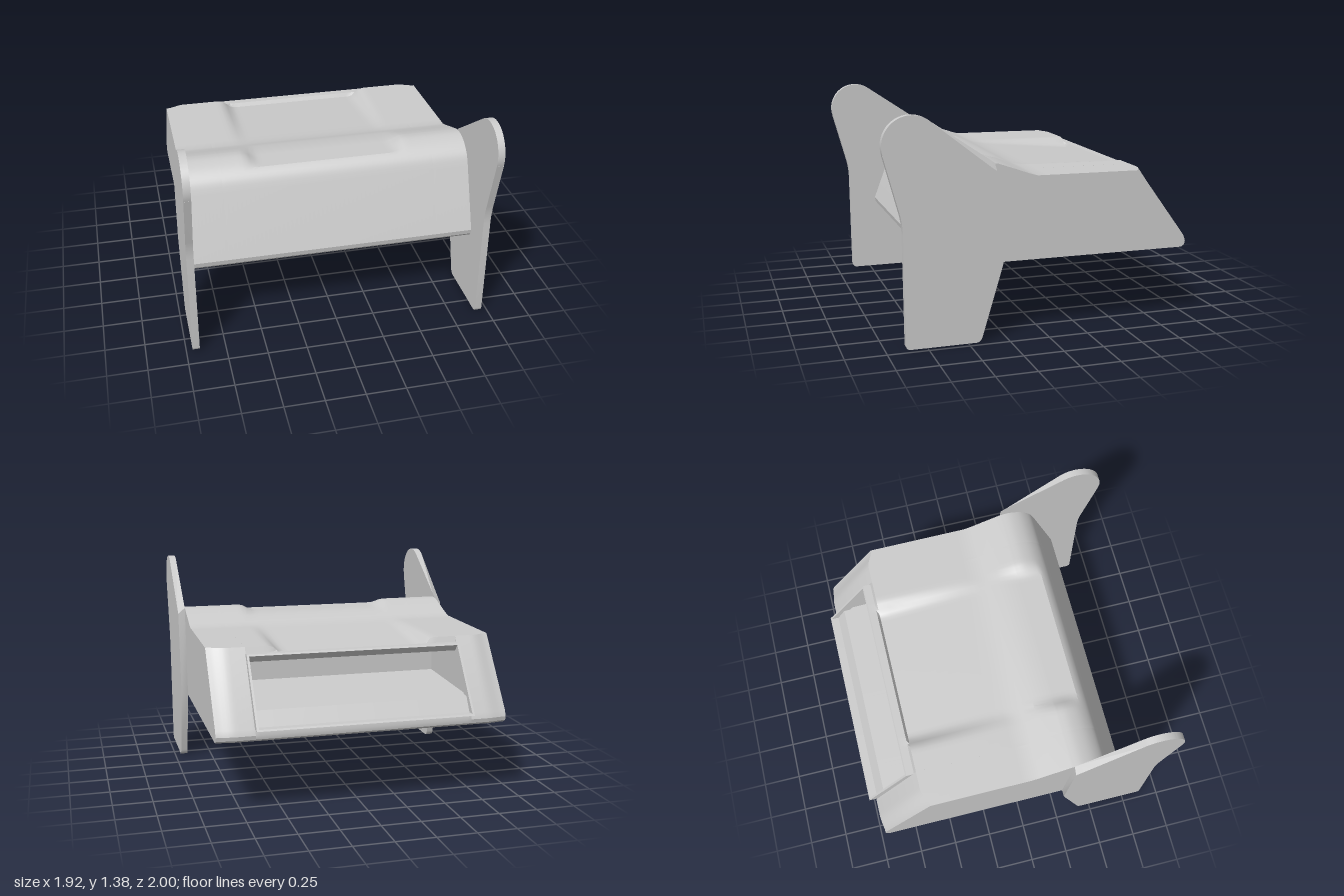
import * as THREE from 'three';
import { toCreasedNormals } from 'three/addons/utils/BufferGeometryUtils.js';

const HALF = 0.915;      // half width of the body
const POCKET = 0.68;     // half width of the rear opening

// Extrude a (z, y) outline across x from x0 to x1; an optional rule moves the vertices
function across(outline, x0, x1, steps = 1, rule = null) {
  const shape = outline instanceof THREE.Shape
    ? outline
    : new THREE.Shape(outline.map(([z, y]) => new THREE.Vector2(z, y)));
  const geo = new THREE.ExtrudeGeometry(shape, {
    depth: x1 - x0, steps, bevelEnabled: false, curveSegments: 20,
  });
  geo.rotateY(-Math.PI / 2);
  geo.translate(x1, 0, 0);
  if (rule) {
    const p = geo.attributes.position;
    const v = new THREE.Vector3();
    for (let i = 0; i < p.count; i++) {
      rule(v.fromBufferAttribute(p, i));
      p.setXYZ(i, v.x, v.y, v.z);
    }
  }
  return toCreasedNormals(geo, 0.5);
}

// Front, rounded ridge and top of the body, from the bottom edge to the rear edge
function frontAndTop(rearZ) {
  const ridge = new THREE.SplineCurve([
    [0.55, 0.93], [0.515, 1.0], [0.45, 1.055], [0.37, 1.08], [0.3, 1.075],
  ].map(([z, y]) => new THREE.Vector2(z, y)));
  const points = [[0.64, 0.475], [0.675, 0.48], [0.695, 0.5], [0.7, 0.53]];
  ridge.getPoints(16).forEach((q) => points.push([q.x, q.y]));
  points.push([0.18, 1.033], [0.1, 1.004]);
  const n = 10;
  for (let i = 0; i <= n; i++) {
    const t = i / n;
    points.push([THREE.MathUtils.lerp(0.05, rearZ, t), 0.99 - 0.005 * t]);
  }
  return points;
}

// Shallow hollow in the middle of the top
function hollow(v) {
  if (v.y < 0.96 || v.z < -0.66) return;
  const blend = 1 - THREE.MathUtils.smoothstep(Math.abs(v.x), 0.43, 0.53);
  const floor = v.z < 0.05 ? 0.985 + 0.085 * (v.z - 0.05) : 1.04;
  v.y += (Math.min(v.y, floor) - v.y) * blend;
}

// The rear slope bows out a little away from the side faces
function bowRear(v) {
  if (v.z > -0.6) return;
  const blend = THREE.MathUtils.smoothstep(HALF - Math.abs(v.x), 0, 0.12);
  v.z -= (v.y > 0.9 ? 0.04 : 0.014) * blend;
}

// Outline of an end panel: straight leg, swept neck and round head
function panelShape() {
  const s = new THREE.Shape();
  s.moveTo(0.45, 0);
  s.lineTo(0.85, 0);
  s.quadraticCurveTo(0.88, 0, 0.88, 0.03);
  s.lineTo(0.885, 0.68);
  s.quadraticCurveTo(0.885, 0.76, 0.905, 0.83);
  s.lineTo(0.994, 1.16);
  s.absarc(0.825, 1.21, 0.175, -0.29, 2.15, false);
  s.lineTo(0.36, 1.068);
  s.lineTo(0.32, 1.04);
  s.lineTo(0.28, 0.48);
  s.lineTo(0.41, 0.04);
  s.quadraticCurveTo(0.42, 0, 0.45, 0);
  return s;
}

export function createModel() {
  const group = new THREE.Group();
  const material = new THREE.MeshStandardMaterial({ color: 0xcccccc, side: THREE.DoubleSide });
  const add = (name, geometry) => {
    const mesh = new THREE.Mesh(geometry, material);
    mesh.name = name;
    group.add(mesh);
  };

  // Middle of the body, with the rear pocket and its projecting lips
  const middle = [
    ...frontAndTop(-0.65),
    [-0.665, 0.95], [-0.715, 0.95], [-0.722, 0.94], [-0.69, 0.9],
    [-0.25, 0.9], [-0.25, 0.68], [-0.89, 0.65], [-0.945, 0.56],
    [-0.993, 0.56], [-1, 0.55], [-0.945, 0.55],
    [-0.955, 0.515], [-0.95, 0.49], [-0.93, 0.475],
  ];
  add('bodyMiddle', across(middle, -POCKET, POCKET, 48, hollow));

  // Solid ends of the body
  const end = [
    ...frontAndTop(-0.61),
    [-0.93, 0.55], [-0.942, 0.515], [-0.937, 0.49], [-0.915, 0.475],
  ];
  add('bodyLeftEnd', across(end, POCKET, HALF, 10, bowRear));
  add('bodyRightEnd', across(end, -HALF, -POCKET, 10, bowRear));

  // Side rails of the rear opening
  const rail = [[-0.64, 0.95], [-0.92, 0.55], [-1, 0.55], [-0.715, 0.95]];
  add('openingLeftRail', across(rail, POCKET - 0.012, POCKET + 0.002));
  add('openingRightRail', across(rail, -POCKET - 0.002, -POCKET + 0.012));

  // End panels; the inner edge stands slightly higher by the body
  const raiseInner = (v) => {
    if (Math.abs(v.x) < 0.93 && v.y > 1 && v.z < 0.4) v.y += 0.04;
  };
  add('leftPanel', across(panelShape(), HALF, 0.96, 1, raiseInner));
  add('rightPanel', across(panelShape(), -0.96, -HALF, 1, raiseInner));

  return group;
}
